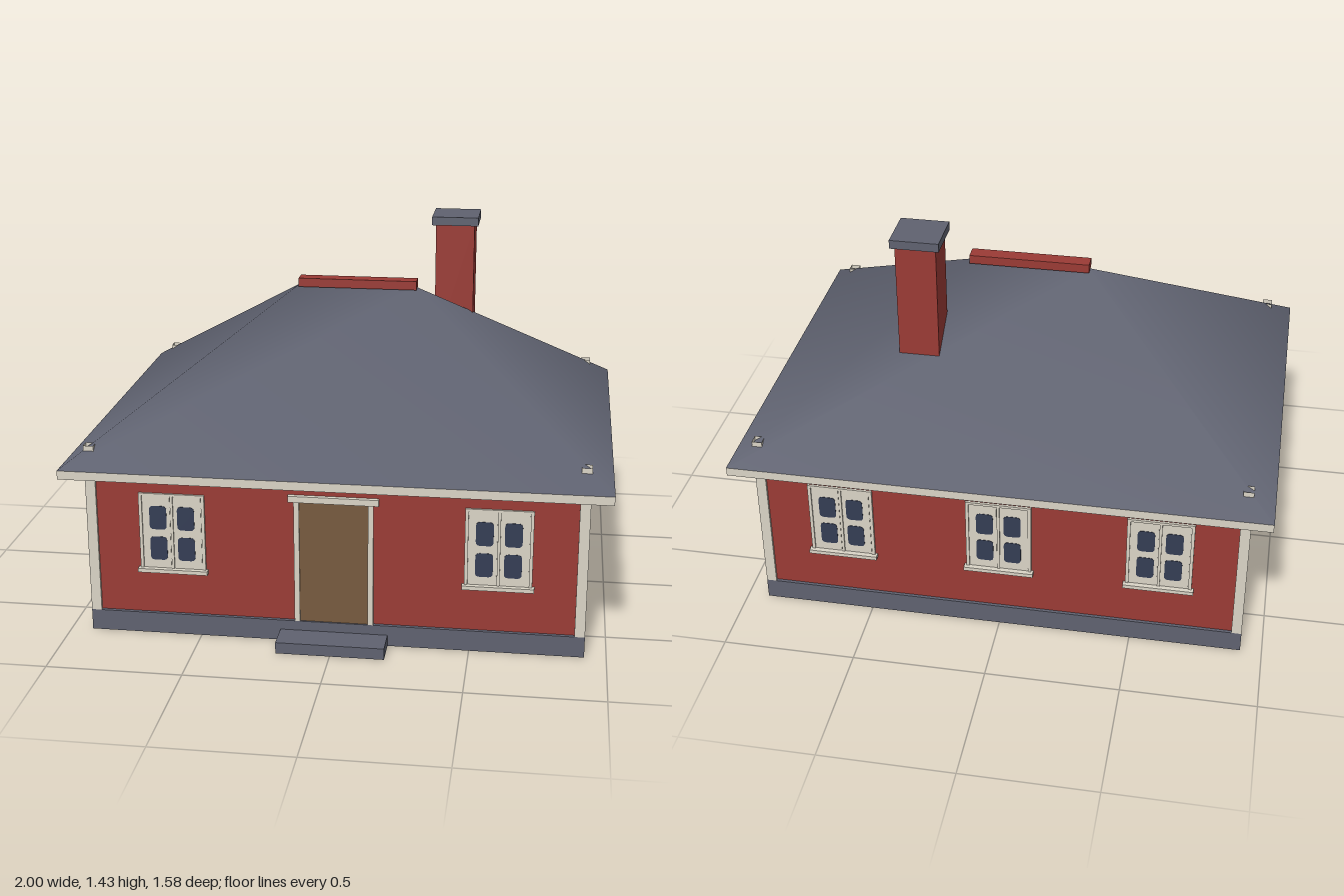
import * as THREE from 'three';

const mat = (name, color, side = THREE.FrontSide) => new THREE.MeshStandardMaterial({ name, color, side });

// Face numbers of a box, used to leave a box open
const TOP = 2, BOTTOM = 3;

export function createModel() {
  const red = mat('wall red', 0x9a3b35);
  const slate = mat('slate grey', 0x5f6270, THREE.DoubleSide);
  const cream = mat('cream trim', 0xdad4c6, THREE.DoubleSide);
  const brown = mat('door brown', 0x775a3f);
  const glass = mat('window glass', 0x343d54);

  const house = new THREE.Group();
  house.name = 'house';
  const CZ = -0.0175; // middle of the house body, the step shifts it back

  // Box given by its extents, with the listed faces left open
  const box = (parent, name, material, [x0, x1], [y0, y1], [z0, z1], open = []) => {
    const geo = new THREE.BoxGeometry(x1 - x0, y1 - y0, z1 - z0);
    if (open.length) {
      geo.setIndex([...geo.index.array].filter((_, i) => !open.includes(Math.floor(i / 6))));
      geo.clearGroups();
    }
    const m = new THREE.Mesh(geo, material);
    m.position.set((x0 + x1) / 2, (y0 + y1) / 2, (z0 + z1) / 2);
    m.name = name;
    parent.add(m);
    return m;
  };

  // Foundation and step are hollow below
  box(house, 'foundation', slate, [-0.92, 0.92], [0, 0.08], [-0.712, 0.677], [BOTTOM]);
  box(house, 'doorStep', slate, [-0.2, 0.2], [0, 0.043], [0.677, 0.79], [BOTTOM]);
  box(house, 'walls', red, [-0.91, 0.91], [0.082, 0.716], [-0.702, 0.667]);

  // Corner boards, their open tips poke through the roof
  for (const sx of [-1, 1]) for (const sz of [-1, 1]) {
    const post = box(house, 'cornerBoard', cream, [-0.019, 0.019], [0.08, 0.733], [-0.019, 0.019], [TOP]);
    post.position.x = sx * 0.901;
    post.position.z = CZ + sz * 0.6755;
  }

  // Fascia ring around the open eaves
  box(house, 'fascia', cream, [-0.999, 0.999], [0.627, 0.66], [-0.79, 0.755], [TOP, BOTTOM]);

  // Hipped roof sheet: four eave corners and two ridge ends
  const hip = (flip) => {
    const geo = new THREE.BufferGeometry();
    geo.setAttribute('position', new THREE.Float32BufferAttribute([
      -1, 0, 0.7725, 1, 0, 0.7725, 1, 0, -0.7725, -1, 0, -0.7725,
      -0.23, 0.534, 0, 0.23, 0.534, 0,
    ], 3));
    const index = [0, 1, 5, 0, 5, 4, 1, 2, 5, 2, 3, 4, 2, 4, 5, 3, 0, 4];
    geo.setIndex(flip ? index.reverse() : index);
    geo.computeVertexNormals();
    return geo;
  };
  const roof = new THREE.Mesh(hip(false), slate);
  roof.name = 'roof';
  roof.position.set(0, 0.659, CZ);
  const underside = new THREE.Mesh(hip(true), brown);
  underside.name = 'roofUnderside';
  underside.position.set(0, 0.655, CZ);
  house.add(roof, underside);
  box(house, 'ridgeCap', red, [-0.23, 0.23], [1.188, 1.222], [-0.047, 0.012]);

  // Chimney
  box(house, 'chimneyStack', red, [0.285, 0.437], [0.9, 1.405], [-0.36, -0.208]);
  box(house, 'chimneyCap', slate, [0.27, 0.452], [1.402, 1.435], [-0.376, -0.194]);

  // Door with frame
  const door = new THREE.Group();
  door.name = 'door';
  door.position.z = 0.667;
  box(door, 'doorLeaf', brown, [-0.128, 0.128], [0.08, 0.555], [-0.005, 0.004]);
  for (const s of [-1, 1]) {
    box(door, 'doorJamb', cream, [-0.01, 0.01], [0.08, 0.555], [-0.005, 0.01]).position.x = s * 0.136;
  }
  box(door, 'doorLintel', cream, [-0.166, 0.166], [0.553, 0.577], [-0.005, 0.018]);
  house.add(door);

  // Rounded glass pane
  const w = 0.032, h = 0.046, r = 0.016;
  const s = new THREE.Shape();
  s.moveTo(-w + r, -h);
  s.lineTo(w - r, -h).quadraticCurveTo(w, -h, w, -h + r);
  s.lineTo(w, h - r).quadraticCurveTo(w, h, w - r, h);
  s.lineTo(-w + r, h).quadraticCurveTo(-w, h, -w, h - r);
  s.lineTo(-w, -h + r).quadraticCurveTo(-w, -h, -w + r, -h);
  const paneGeo = new THREE.ExtrudeGeometry(s, { depth: 0.003, bevelEnabled: false, curveSegments: 4 });

  // Two-leaf window with four panes, facing +z from the wall plane
  const addWindow = (x, z, turn) => {
    const win = new THREE.Group();
    win.name = 'window';
    win.position.set(x, 0, z);
    win.rotation.y = turn;
    box(win, 'windowBack', cream, [-0.118, 0.118], [0.26, 0.553], [-0.005, 0.003]);
    for (const sx of [-1, 1]) {
      box(win, 'windowSash', cream, [-0.051, 0.051], [0.264, 0.55], [0, 0.005]).position.x = sx * 0.058;
      box(win, 'windowCasing', cream, [-0.006, 0.006], [0.262, 0.555], [-0.005, 0.009]).position.x = sx * 0.117;
      for (const y of [0.342, 0.463]) {
        const pane = new THREE.Mesh(paneGeo, glass);
        pane.name = 'windowPane';
        pane.position.set(sx * 0.052, y, 0.0035);
        win.add(pane);
      }
    }
    box(win, 'windowMullion', cream, [-0.005, 0.005], [0.262, 0.553], [0, 0.009]);
    box(win, 'windowHead', cream, [-0.123, 0.123], [0.548, 0.558], [-0.005, 0.009]);
    box(win, 'windowSill', cream, [-0.131, 0.131], [0.249, 0.264], [-0.005, 0.024]);
    house.add(win);
  };
  for (const x of [-0.6, 0.6]) addWindow(x, 0.667, 0);
  for (const x of [-0.6, 0, 0.6]) addWindow(x, -0.702, Math.PI);

  return house;
}
